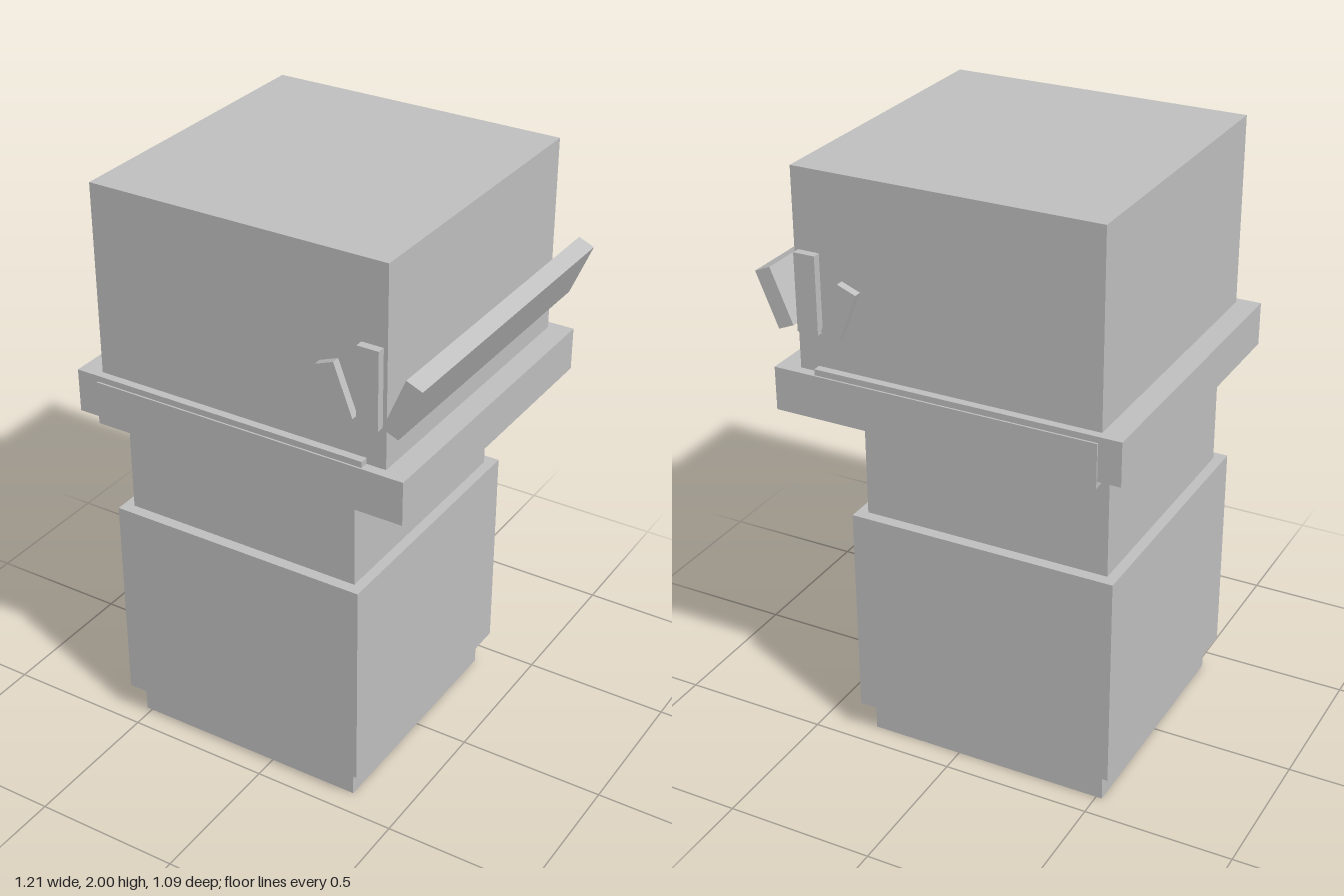
import * as THREE from 'three';

export function createModel() {
  const model = new THREE.Group();
  const grey = new THREE.MeshStandardMaterial({ color: 0xc0c0c0 });
  grey.name = 'grey';

  // Box from its x and y range and half depth, centred on z = 0
  const block = (name, x0, x1, y0, y1, halfDepth) => {
    const mesh = new THREE.Mesh(new THREE.BoxGeometry(x1 - x0, y1 - y0, halfDepth * 2), grey);
    mesh.position.set((x0 + x1) / 2, (y0 + y1) / 2, 0);
    mesh.name = name;
    model.add(mesh);
    return mesh;
  };

  // Column with a wider sleeve
  block('core', -0.52, 0.315, 0, 1.21, 0.417);
  block('body', -0.555, 0.35, 0.11, 0.835, 0.455);

  // Head and the two overlapping bands around its base
  block('head', -0.535, 0.475, 1.25, 2, 0.51);
  block('frontBand', -0.535, 0.55, 1.205, 1.35, 0.543);
  block('backBand', -0.61, 0.41, 1.225, 1.37, 0.537);

  // Three fanned bars running through the head: x, y, width, height, tilt
  [
    ['leaningBackBar', 0.316, 1.572, 0.066, 0.177, 0.37],
    ['uprightBar', 0.426, 1.613, 0.072, 0.255, 0],
    ['leaningForwardBar', 0.539, 1.578, 0.057, 0.19, -0.4],
  ].forEach(([name, x, y, w, h, tilt]) => {
    block(name, x - w / 2, x + w / 2, y - h / 2, y + h / 2, 0.537).rotation.z = tilt;
  });

  return model;
}
